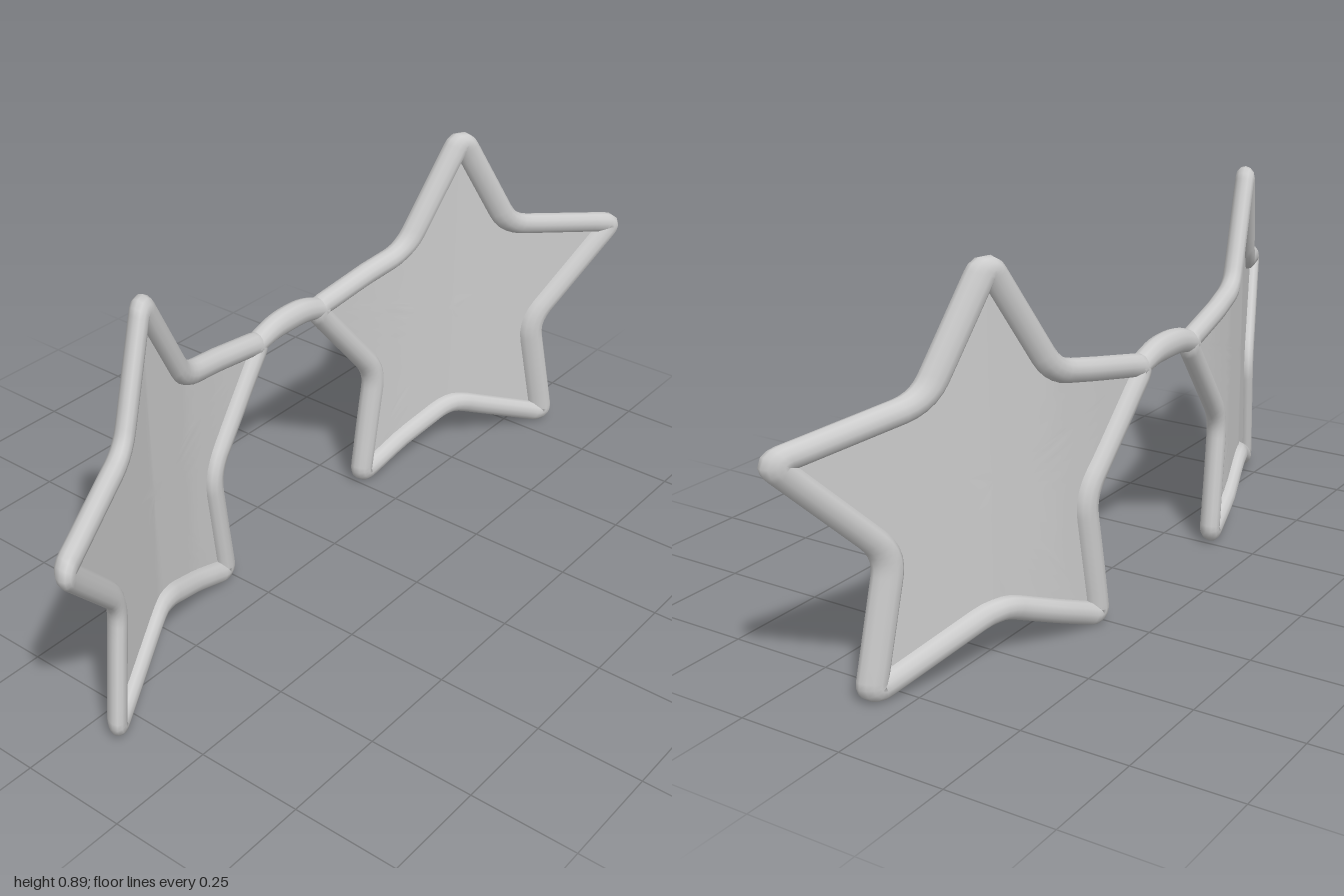
import * as THREE from 'three';

const grey = new THREE.MeshStandardMaterial({ color: 0xcccccc });
grey.name = 'light grey';
grey.side = THREE.DoubleSide;

// Wrap-around bend: depth of the glasses at a given x
const BEND = [[0, -0.14], [0.11, -0.14], [0.27, -0.122], [0.39, -0.1], [0.553, -0.05], [1.1, 0.198]];
function bend(x) {
  const ax = Math.abs(x);
  let i = 0;
  while (i < BEND.length - 2 && ax > BEND[i + 1][0]) i++;
  const [x0, z0] = BEND[i], [x1, z1] = BEND[i + 1];
  return z0 + (z1 - z0) * (ax - x0) / (x1 - x0);
}

// Star corners, alternating tip and notch, clockwise from the top
const STAR = [
  [0.553, 0.88], [0.688, 0.62], [0.984, 0.558], [0.765, 0.32], [0.818, 0.022],
  [0.546, 0.14], [0.262, 0.022], [0.306, 0.32], [0.1, 0.565], [0.397, 0.622],
];

// Outline with rounded corners and subdivided straight edges
function starPath(side) {
  const corners = STAR.map(([x, y]) => new THREE.Vector2(x * side, y));
  const n = corners.length, pts = [];
  const toward = (a, b, d) => b.clone().sub(a).setLength(d).add(a);
  const cut = (i) => (i % 2 ? 0.05 : 0.028);
  corners.forEach((c, i) => {
    const prev = corners[(i + n - 1) % n], next = corners[(i + 1) % n];
    const end = toward(c, next, cut(i));
    const round = new THREE.QuadraticBezierCurve(toward(c, prev, cut(i)), c, end);
    pts.push(...round.getPoints(5));
    const nextStart = toward(next, c, cut(i + 1));
    for (let k = 1; k < 6; k++) pts.push(end.clone().lerp(nextStart, k / 6));
  });
  return pts;
}

function surface(positions, indices) {
  const g = new THREE.BufferGeometry();
  g.setAttribute('position', new THREE.Float32BufferAttribute(positions, 3));
  g.setIndex(indices);
  g.computeVertexNormals();
  return g;
}

// Sweep a round section along a flat path, then bend it
function sweep(path, closed, radius) {
  const n = path.length, sides = 12, pos = [], idx = [];
  path.forEach((p, i) => {
    const a = path[closed ? (i + n - 1) % n : Math.max(i - 1, 0)];
    const b = path[closed ? (i + 1) % n : Math.min(i + 1, n - 1)];
    const t = b.clone().sub(a).normalize();
    const r = radius(i / (n - 1));
    for (let j = 0; j < sides; j++) {
      const ang = (j / sides) * Math.PI * 2;
      const x = p.x + t.y * r * Math.cos(ang);
      const y = p.y - t.x * r * Math.cos(ang);
      pos.push(x, y, bend(x) + 0.026 * Math.sin(ang));
    }
  });
  for (let i = 0; i < (closed ? n : n - 1); i++) {
    for (let j = 0; j < sides; j++) {
      const i2 = (i + 1) % n, j2 = (j + 1) % sides;
      const a = i * sides + j, b = i2 * sides + j, c = i2 * sides + j2, d = i * sides + j2;
      idx.push(a, b, d, b, c, d);
    }
  }
  return surface(pos, idx);
}

// Curved lens: concentric star rings around a centre point
function lens(path, side) {
  const cx = 0.545 * side, cy = 0.42, rings = 12, n = path.length;
  const pos = [cx, cy, bend(cx)], idx = [];
  for (let r = 1; r <= rings; r++) {
    for (const p of path) {
      const x = cx + (p.x - cx) * r / rings, y = cy + (p.y - cy) * r / rings;
      pos.push(x, y, bend(x));
    }
  }
  const tri = (a, b, c) => (side > 0 ? idx.push(a, c, b) : idx.push(a, b, c));
  for (let i = 0; i < n; i++) {
    const k = (i + 1) % n;
    tri(0, 1 + i, 1 + k);
    for (let r = 0; r < rings - 1; r++) {
      const a = 1 + r * n, b = a + n;
      tri(a + i, b + i, b + k);
      tri(a + i, b + k, a + k);
    }
  }
  return surface(pos, idx);
}

export function createModel() {
  const group = new THREE.Group();
  group.name = 'starGlasses';
  const add = (name, geometry) => {
    const mesh = new THREE.Mesh(geometry, grey);
    mesh.name = name;
    group.add(mesh);
  };

  // Star rims and lenses
  for (const [label, side] of [['left', 1], ['right', -1]]) {
    const path = starPath(side);
    add(label + 'Rim', sweep(path, true, () => 0.027));
    add(label + 'Lens', lens(path, side));
  }

  // Arched nose bridge
  const arch = new THREE.SplineCurve([
    [-0.125, 0.561], [-0.06, 0.58], [0, 0.584], [0.06, 0.58], [0.125, 0.561],
  ].map(([x, y]) => new THREE.Vector2(x, y)));
  add('bridge', sweep(arch.getPoints(16), false, (t) => 0.024 + 0.008 * Math.sin(Math.PI * t)));

  return group;
}
